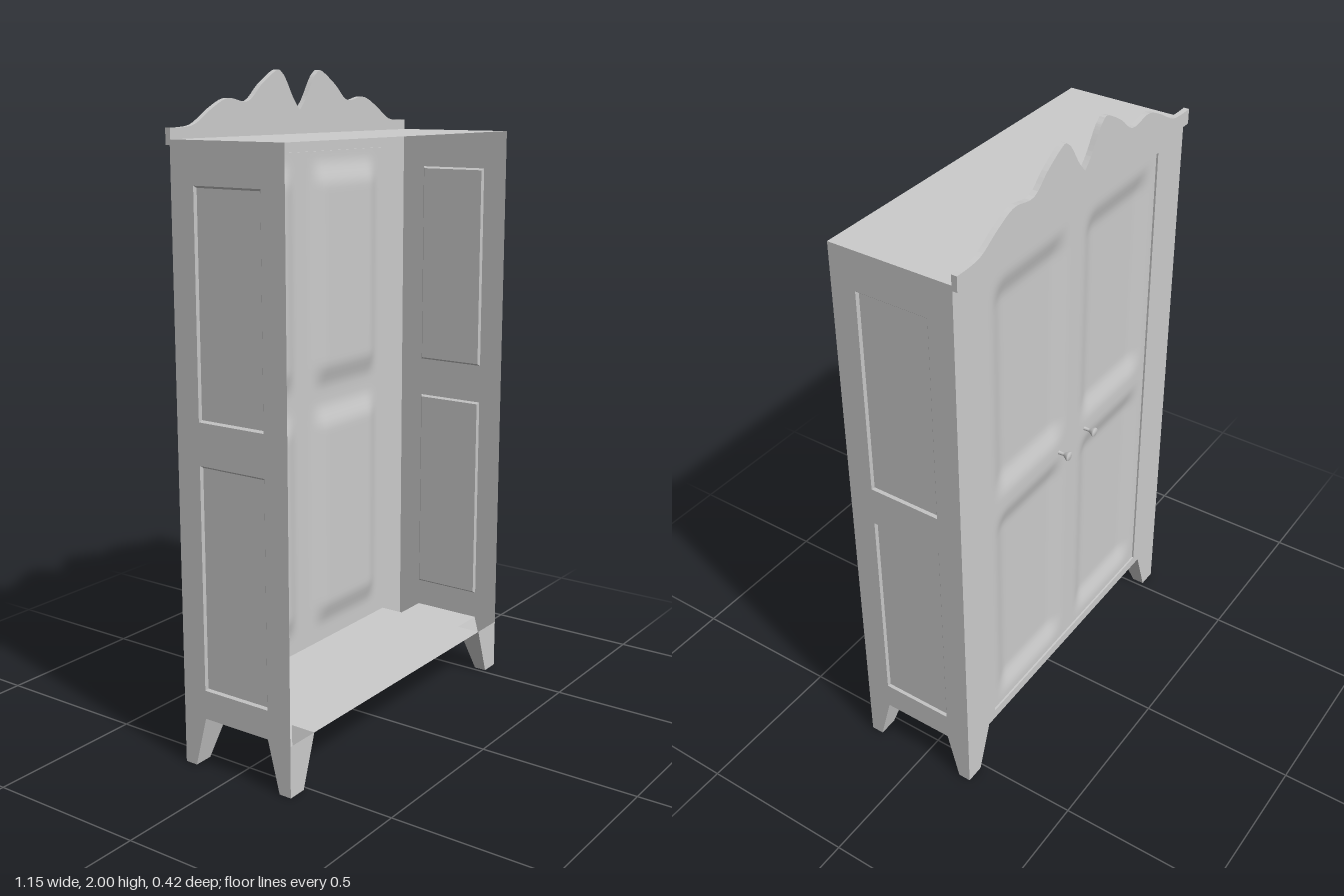
import * as THREE from 'three';

const grey = new THREE.MeshStandardMaterial({ color: 0xcccccc, side: THREE.DoubleSide });
const W = 0.575, BACK = -0.18, FRONT = 0.21, FLOOR = 0.157, TOP = 1.815;
const DEPTH = FRONT - BACK, MID = (FRONT + BACK) / 2;

function add(parent, name, geometry) {
  const mesh = new THREE.Mesh(geometry, grey);
  mesh.name = name;
  parent.add(mesh);
  return mesh;
}

function rect(Type, x0, x1, y0, y1) {
  const p = new Type();
  p.moveTo(x0, y0).lineTo(x1, y0).lineTo(x1, y1).lineTo(x0, y1).closePath();
  return p;
}

// Flat-sided wall joining two four-cornered loops
function loft(a, b) {
  const pos = [];
  for (let i = 0; i < 4; i++) {
    const j = (i + 1) % 4;
    for (const p of [a[i], a[j], b[j], a[i], b[j], b[i]]) pos.push(...p);
  }
  const g = new THREE.BufferGeometry();
  g.setAttribute('position', new THREE.Float32BufferAttribute(pos, 3));
  g.computeVertexNormals();
  return g;
}

const loopXY = (x0, x1, y0, y1, z) => [[x0, y0, z], [x1, y0, z], [x1, y1, z], [x0, y1, z]];
const loopXZ = (x0, x1, z0, z1, y) => [[x0, y, z1], [x1, y, z1], [x1, y, z0], [x0, y, z0]];

// Side wall with two shallow recessed panels, drawn facing +z and then turned
function sideWall(sign) {
  const g = new THREE.Group();
  g.name = sign > 0 ? 'leftSide' : 'rightSide';
  const wall = rect(THREE.Shape, -DEPTH / 2, DEPTH / 2, FLOOR, TOP);
  const px0 = -0.115, px1 = 0.115, b = 0.006, d = -0.007;
  for (const [y0, y1] of [[0.245, 0.92], [1.045, 1.695]]) {
    wall.holes.push(rect(THREE.Path, px0, px1, y0, y1));
    add(g, 'panelBevel', loft(loopXY(px0, px1, y0, y1, 0),
      loopXY(px0 + b, px1 - b, y0 + b, y1 - b, d)));
    add(g, 'sidePanel', new THREE.ShapeGeometry(
      rect(THREE.Shape, px0 + b, px1 - b, y0 + b, y1 - b))).position.z = d;
  }
  add(g, 'sideFrame', new THREE.ShapeGeometry(wall));
  g.rotation.y = sign * Math.PI / 2;
  g.position.set(sign * W, 0, MID);
  return g;
}

// One door with two softly sunken panels
function door(sign) {
  const w = 0.43, y0 = 0.19, y1 = 1.76;
  const g = new THREE.PlaneGeometry(w, y1 - y0, 32, 96);
  g.rotateY(Math.PI);
  g.translate(sign * w / 2, (y0 + y1) / 2, BACK + 0.006);
  const p = g.attributes.position;
  const sink = (v, lo, hi, soft) =>
    THREE.MathUtils.smoothstep(v, lo, lo + soft) * (1 - THREE.MathUtils.smoothstep(v, hi - soft, hi));
  for (let i = 0; i < p.count; i++) {
    const x = Math.abs(p.getX(i)), y = p.getY(i);
    const rows = sink(y, 0.21, 0.97, 0.09) + sink(y, 1.01, 1.74, 0.09);
    p.setZ(i, p.getZ(i) + 0.018 * rows * sink(x, 0.03, 0.415, 0.08));
  }
  g.computeVertexNormals();
  return g;
}

// Hollow tapered corner leg, straight on its two outer faces
function leg(sx, back) {
  const at = (wx, wz, y) => {
    const xs = [sx * W, sx * (W - wx)].sort((a, b) => a - b);
    const zs = back ? [BACK, BACK + wz] : [FRONT - wz, FRONT];
    return loopXZ(xs[0], xs[1], zs[0], zs[1], y);
  };
  return loft(at(0.06, 0.04, 0), at(0.112, 0.08, FLOOR));
}

// Wavy crest board
function crest() {
  const half = [[0.11, 2.0], [0.18, 1.96], [0.245, 1.912], [0.33, 1.922], [0.4, 1.895],
    [0.47, 1.855], [0.52, 1.846], [W, 1.846]].map(([x, y]) => new THREE.Vector2(x, y));
  const rise = [[0, 1.885], [0.03, 1.918], [0.065, 1.972], [0.085, 1.993]]
    .map(([x, y]) => new THREE.Vector2(x, y));
  const right = new THREE.SplineCurve([...rise, ...half]).getPoints(48);
  const left = right.slice(1).reverse().map(p => new THREE.Vector2(-p.x, p.y));
  const shape = new THREE.Shape([new THREE.Vector2(-W, 1.8), ...left, ...right,
    new THREE.Vector2(W, 1.8)]);
  const g = new THREE.ExtrudeGeometry(shape, { depth: 0.017, bevelEnabled: false });
  g.translate(0, 0, -0.195);
  return g;
}

export function createModel() {
  const model = new THREE.Group();
  model.name = 'wardrobe';

  // Carcass: sides, top, floor with notches over the hollow legs, door frame
  model.add(sideWall(1), sideWall(-1));
  const top = add(model, 'top', new THREE.PlaneGeometry(2 * W, DEPTH));
  top.rotation.x = -Math.PI / 2;
  top.position.set(0, TOP, MID);

  const a = W - 0.112, h = DEPTH / 2, c = h - 0.08;
  const floorShape = new THREE.Shape([[-a, -h], [a, -h], [a, -c], [W, -c], [W, c], [a, c],
    [a, h], [-a, h], [-a, c], [-W, c], [-W, -c], [-a, -c]].map(p => new THREE.Vector2(...p)));
  const floor = add(model, 'floor', new THREE.ShapeGeometry(floorShape));
  floor.rotation.x = -Math.PI / 2;
  floor.position.set(0, FLOOR, MID);

  const frame = rect(THREE.Shape, -W, W, FLOOR, TOP);
  frame.holes.push(rect(THREE.Path, -0.43, 0.43, 0.19, 1.76));
  const frameGeo = new THREE.ShapeGeometry(frame);
  frameGeo.rotateY(Math.PI);
  add(model, 'doorFrame', frameGeo).position.z = BACK;
  add(model, 'doorRebate', loft(loopXY(-0.43, 0.43, 0.19, 1.76, BACK + 0.006),
    loopXY(-0.43, 0.43, 0.19, 1.76, BACK)));

  // Doors, knobs and legs, mirrored
  const knobProfile = [[0.006, 0], [0.005, 0.016], [0.008, 0.022], [0.015, 0.033], [0.014, 0.037], [0, 0.038]]
    .map(p => new THREE.Vector2(...p));
  for (const s of [1, -1]) {
    const side = s > 0 ? 'left' : 'right';
    add(model, side + 'Door', door(s));
    const knob = add(model, side + 'Knob', new THREE.LatheGeometry(knobProfile, 16));
    knob.rotation.x = -Math.PI / 2;
    knob.position.set(s * 0.072, 0.985, -0.175);
    add(model, side + 'DoorSideLeg', leg(s, true));
    add(model, side + 'OpenSideLeg', leg(s, false));
  }

  add(model, 'crest', crest());
  return model;
}
